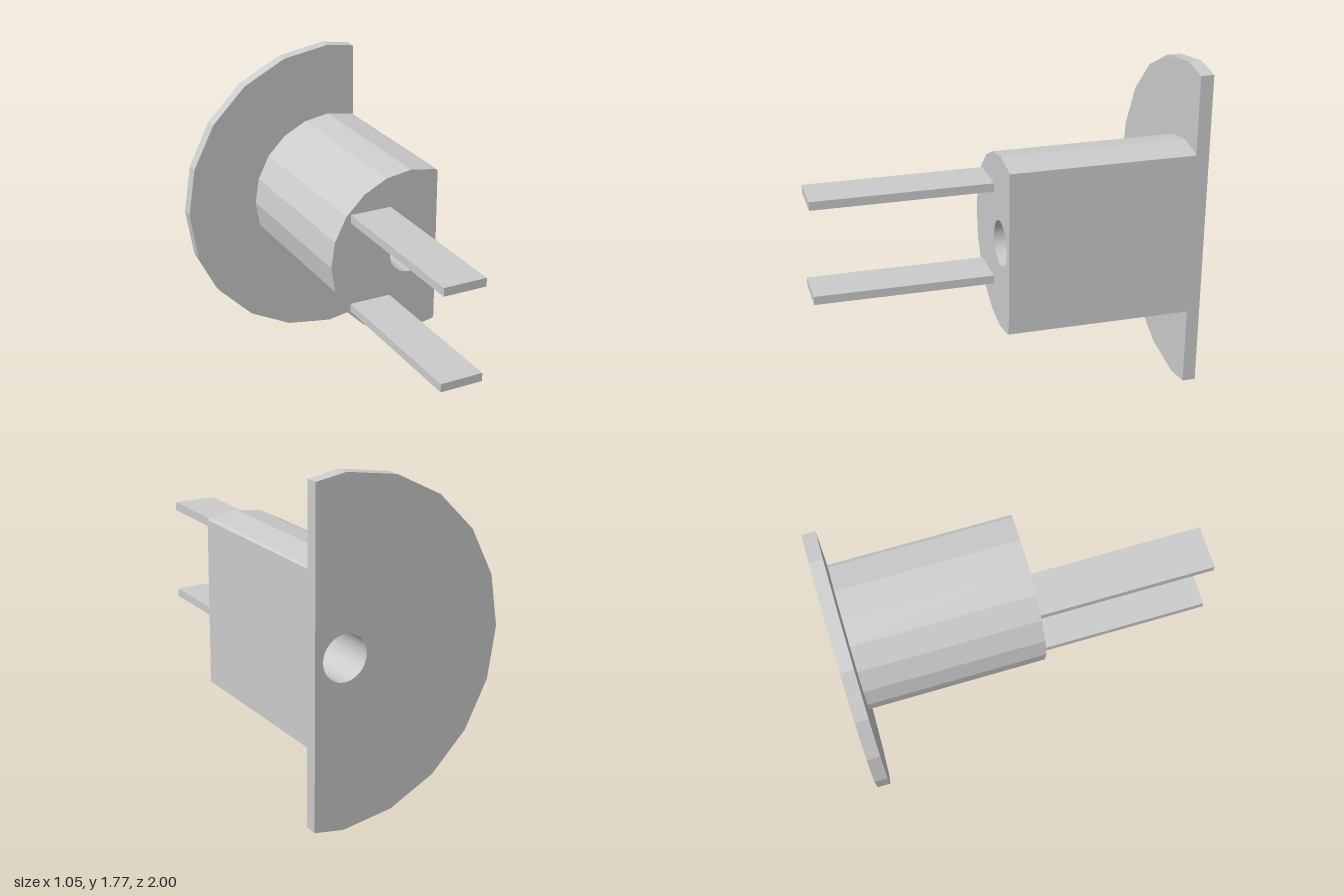
import * as THREE from 'three';

const CX = 0.36, CY = 0.89;   // shared axis of flange, body and bore
const CUT = 0.523;            // plane of the flat side
const material = new THREE.MeshStandardMaterial({ color: 0xcccccc, flatShading: true });

// 20-sided disc, cut flat at x = CUT, with the round bore through it
function cutDisc(name, radius, z0, z1) {
  const ring = [];
  for (let i = 0; i < 20; i++) {
    const a = (i * Math.PI) / 10;
    ring.push(new THREE.Vector2(CX + radius * Math.cos(a), CY + radius * Math.sin(a)));
  }
  const outline = [];
  ring.forEach((p, i) => {
    const q = ring[(i + 1) % ring.length];
    if (p.x <= CUT) outline.push(p);
    if ((p.x <= CUT) !== (q.x <= CUT)) outline.push(p.clone().lerp(q, (CUT - p.x) / (q.x - p.x)));
  });
  const shape = new THREE.Shape(outline);
  shape.holes.push(new THREE.Path().absarc(CX, CY, 0.12, 0, Math.PI * 2, true));
  const geometry = new THREE.ExtrudeGeometry(shape, { depth: z1 - z0, bevelEnabled: false, curveSegments: 32 });
  const mesh = new THREE.Mesh(geometry, material);
  mesh.position.z = z0;
  mesh.name = name;
  return mesh;
}

export function createModel() {
  const group = new THREE.Group();
  group.name = 'plugInsert';

  group.add(cutDisc('flange', 0.886, -1, -0.93));
  group.add(cutDisc('body', 0.473, -0.93, 0.05));

  // Two flat prongs, above and below the bore
  for (const [name, side] of [['upperProng', 1], ['lowerProng', -1]]) {
    const prong = new THREE.Mesh(new THREE.BoxGeometry(0.237, 0.046, 0.95), material);
    prong.position.set(0.121, CY + side * 0.261, 0.525);
    prong.name = name;
    group.add(prong);
  }
  return group;
}
